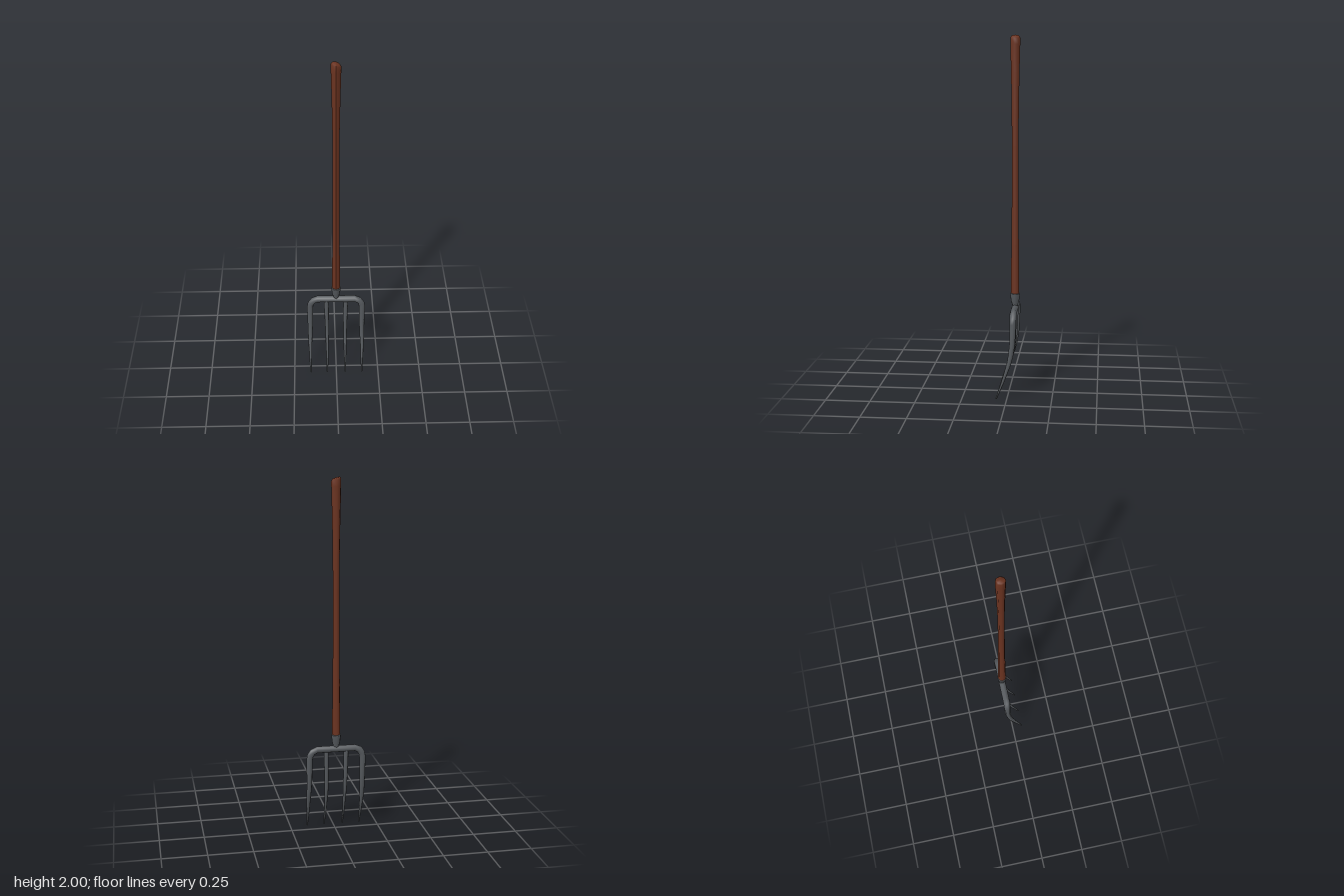
import * as THREE from 'three';

const SIDES = 8;
const AXIS_Z = -0.034;

// Sweep an eight-sided section along points [x, y, z, radius]
function sweep(points) {
  const pos = [], index = [];
  const at = (i) => new THREE.Vector3(...points[Math.max(0, Math.min(points.length - 1, i))].slice(0, 3));
  const zAxis = new THREE.Vector3(0, 0, 1);
  points.forEach((p, i) => {
    const t = at(i + 1).sub(at(i - 1)).normalize();
    const n = new THREE.Vector3().crossVectors(t, zAxis).normalize();
    const b = new THREE.Vector3().crossVectors(n, t);
    for (let j = 0; j < SIDES; j++) {
      const a = (j / SIDES) * Math.PI * 2;
      const v = at(i).addScaledVector(n, Math.cos(a) * p[3]).addScaledVector(b, Math.sin(a) * p[3]);
      pos.push(v.x, v.y, v.z);
      if (i < points.length - 1) {
        const k = (j + 1) % SIDES, r0 = i * SIDES, r1 = r0 + SIDES;
        index.push(r0 + j, r1 + j, r0 + k, r0 + k, r1 + j, r1 + k);
      }
    }
  });
  const g = new THREE.BufferGeometry();
  g.setAttribute('position', new THREE.Float32BufferAttribute(pos, 3));
  g.setIndex(index);
  g.computeVertexNormals();
  return g;
}

function lathe(profile) {
  return new THREE.LatheGeometry(profile.map(([r, y]) => new THREE.Vector2(r, y)), SIDES);
}

export function createModel() {
  const wood = new THREE.MeshStandardMaterial({ color: 0x6b3320 });
  wood.name = 'brown wood';
  const steel = new THREE.MeshStandardMaterial({ color: 0x55595d });
  steel.name = 'grey steel';

  const group = new THREE.Group();
  group.name = 'gardenFork';
  const add = (name, geometry, material, z = 0) => {
    const mesh = new THREE.Mesh(geometry, material);
    mesh.name = name;
    mesh.position.z = z;
    group.add(mesh);
  };

  // Wooden shaft, swelling at both ends, with a slightly slanted rounded top
  const shaft = lathe([
    [0.023, 0.55], [0.023, 0.66], [0.0205, 0.85], [0.0185, 1.1], [0.0185, 1.4],
    [0.0195, 1.6], [0.023, 1.8], [0.027, 1.95], [0.027, 1.984], [0.021, 1.993], [0, 1.995],
  ]);
  const sp = shaft.attributes.position;
  for (let i = 0; i < sp.count; i++) {
    if (sp.getY(i) > 1.97) sp.setY(i, sp.getY(i) - sp.getX(i) * 0.28);
  }
  shaft.computeVertexNormals();
  add('handle', shaft, wood, AXIS_Z);

  // Tapered socket holding the shaft
  add('socket', lathe([
    [0, 0.48], [0.014, 0.485], [0.016, 0.505], [0.022, 0.525], [0.028, 0.568], [0.0275, 0.572], [0.02, 0.572],
  ]), steel, AXIS_Z);

  // Outer tines and crossbar as one bent bar
  const half = [
    [0.152, 0.0, 0.06, 0], [0.152, 0.004, 0.058, 0.004], [0.153, 0.1, 0.022, 0.008],
    [0.154, 0.2, -0.011, 0.012], [0.153, 0.25, -0.022, 0.014], [0.152, 0.32, -0.031, 0.0155],
    [0.152, 0.43, AXIS_Z, 0.018],
    [0.147, 0.456, AXIS_Z, 0.019], [0.133, 0.476, AXIS_Z, 0.0195], [0.108, 0.487, AXIS_Z, 0.0195],
  ];
  const mirrored = half.map(([x, y, z, r]) => [-x, y, z, r]);
  add('crossbarAndOuterTines', sweep([...mirrored, ...half.reverse()]), steel);

  // Inner tines
  for (const side of [-1, 1]) {
    add(side > 0 ? 'leftInnerTine' : 'rightInnerTine', sweep([
      [0.057, 0.485, AXIS_Z, 0.014], [0.056, 0.43, AXIS_Z, 0.0135], [0.054, 0.32, -0.031, 0.012],
      [0.053, 0.25, -0.022, 0.011], [0.053, 0.2, -0.011, 0.0095], [0.053, 0.1, 0.022, 0.007],
      [0.054, 0.004, 0.058, 0.004], [0.054, 0.0, 0.06, 0],
    ].map(([x, y, z, r]) => [x * side, y, z, r])), steel);
  }
  return group;
}
